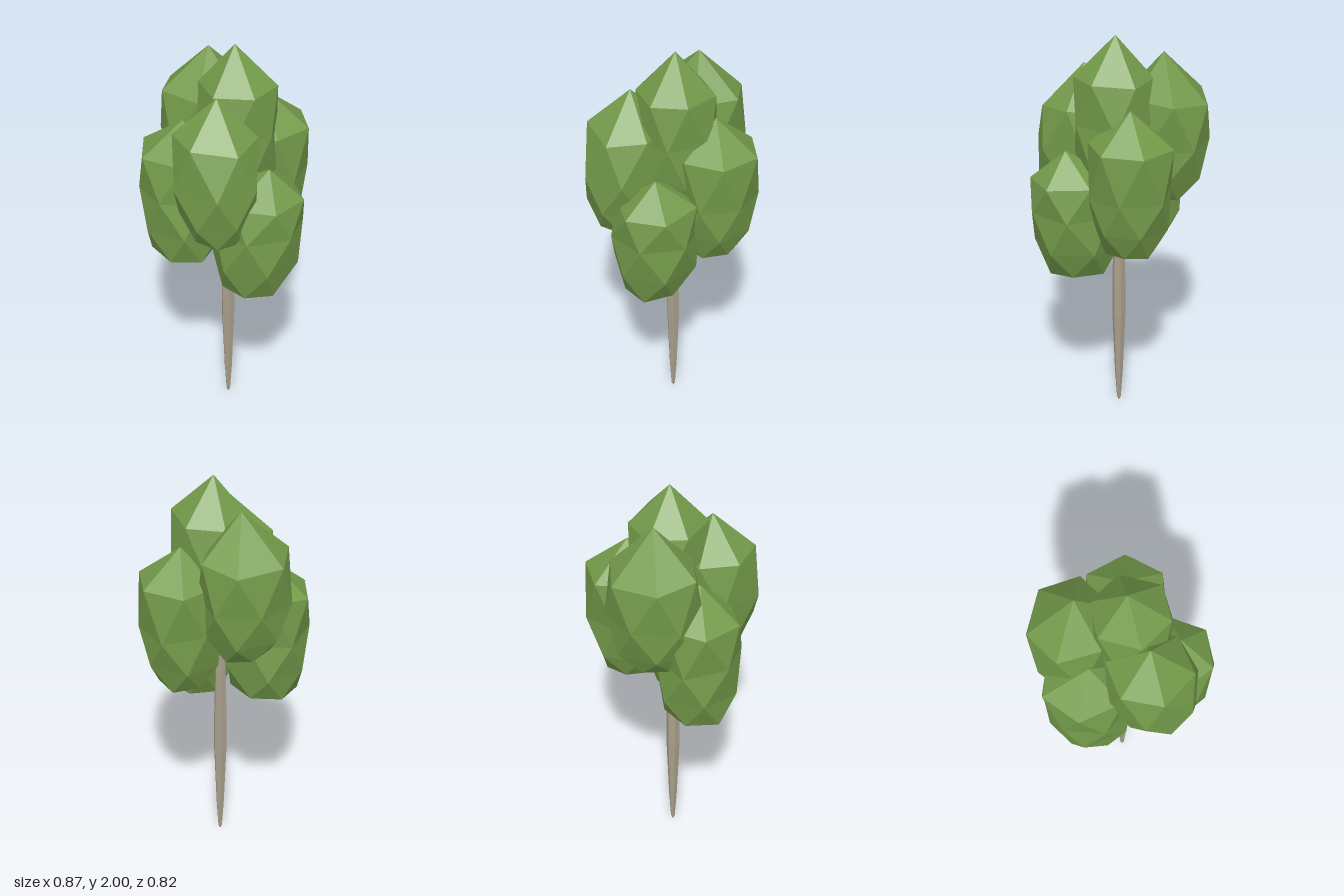
import * as THREE from 'three';

const SIDES = 6;

// Small seeded generator for the irregular facets
function seeded(seed) {
  let s = seed;
  return () => {
    s = (s * 16807) % 2147483647;
    return s / 2147483647;
  };
}

// Faceted egg: pointed top, staggered rings, blunt bottom, leaning from head [x, z] to foot [x, y, z].
// Each ring is [fraction down from the tip, fraction of full radius].
function clumpGeometry({ tip, head, foot, radius, phase, rings, seed }) {
  const rand = seeded(seed);
  const height = tip[1] - foot[1];
  const loops = rings.map(([t, r], k) => {
    const cx = head[0] + (foot[0] - head[0]) * t;
    const cz = head[1] + (foot[2] - head[1]) * t;
    return Array.from({ length: SIDES }, (_, i) => {
      const a = phase + ((i + k / 2) / SIDES) * Math.PI * 2 + (rand() - 0.5) * 0.1;
      const s = r * (0.98 + rand() * 0.04);
      const y = tip[1] - height * (t + (rand() - 0.5) * 0.04);
      return [cx + Math.cos(a) * radius[0] * s, y, cz + Math.sin(a) * radius[1] * s];
    });
  });
  const last = loops[loops.length - 1];
  const pos = [];
  const tri = (a, b, c) => pos.push(...a, ...b, ...c);
  for (let i = 0; i < SIDES; i++) {
    const j = (i + 1) % SIDES;
    tri(tip, loops[0][j], loops[0][i]);
    for (let k = 0; k < loops.length - 1; k++) {
      const u = loops[k], l = loops[k + 1];
      tri(u[i], u[j], l[i]);
      tri(l[i], u[j], l[j]);
    }
    tri(last[i], last[j], foot);
  }
  const geo = new THREE.BufferGeometry();
  geo.setAttribute('position', new THREE.Float32BufferAttribute(pos, 3));
  geo.computeVertexNormals(); // unshared corners give flat facets
  return geo;
}

const CLUMPS = [
  { name: 'topLeaves', tip: [0.02, 2.0, 0.01], head: [0.03, 0], foot: [0.035, 1.2, 0], radius: [0.2, 0.195], phase: 0.3, seed: 11,
    rings: [[0.25, 0.95], [0.5, 1.02], [0.77, 0.92], [0.95, 0.58]] },
  { name: 'rightUpperLeaves', tip: [-0.21, 1.905, -0.01], head: [-0.24, -0.005], foot: [-0.225, 1.16, 0], radius: [0.205, 0.225], phase: 0.8, seed: 23,
    rings: [[0.29, 0.97], [0.6, 1.02], [0.8, 0.88], [0.95, 0.56]] },
  { name: 'frontLeaves', tip: [0.12, 1.82, 0.19], head: [0.1, 0.195], foot: [0.165, 1.08, 0.215], radius: [0.215, 0.205], phase: 0.15, seed: 37,
    rings: [[0.26, 0.94], [0.55, 1.05], [0.78, 0.88], [0.95, 0.6]] },
  { name: 'frontRightLeaves', tip: [-0.15, 1.6, 0.19], head: [-0.18, 0.195], foot: [-0.15, 0.86, 0.185], radius: [0.215, 0.205], phase: 0.62, seed: 41,
    rings: [[0.2, 0.95], [0.5, 1.0], [0.75, 0.98], [0.94, 0.78]] },
  { name: 'leftLeaves', tip: [0.27, 1.46, 0.0], head: [0.24, 0], foot: [0.195, 0.77, 0.045], radius: [0.215, 0.205], phase: 0.42, seed: 59,
    rings: [[0.21, 0.95], [0.44, 1.02], [0.72, 1.0], [0.93, 0.7]] },
  { name: 'backLeaves', tip: [0.01, 1.7, -0.19], head: [0.01, -0.205], foot: [0.01, 0.94, -0.18], radius: [0.2, 0.2], phase: 0.52, seed: 67,
    rings: [[0.21, 1.0], [0.52, 1.02], [0.76, 0.92], [0.94, 0.6]] },
];

export function createModel() {
  const group = new THREE.Group();
  group.name = 'tree';
  const leafGreen = new THREE.MeshStandardMaterial({ color: 0x739a4a });
  leafGreen.name = 'leafGreen';
  const barkGrey = new THREE.MeshStandardMaterial({ color: 0xa99f8b });
  barkGrey.name = 'barkGrey';

  // Spindle-shaped trunk running up into the crown
  const profile = [[0, 0], [0.01, 0.02], [0.02, 0.17], [0.034, 0.52], [0.034, 0.68], [0.027, 1.0], [0.012, 1.35], [0, 1.4]]
    .map(([r, y]) => new THREE.Vector2(r, y));
  const trunkGeo = new THREE.LatheGeometry(profile, 6).toNonIndexed();
  trunkGeo.computeVertexNormals();
  const trunk = new THREE.Mesh(trunkGeo, barkGrey);
  trunk.name = 'trunk';
  trunk.position.set(-0.004, 0, 0.033);
  group.add(trunk);

  // Overlapping leaf clumps
  for (const clump of CLUMPS) {
    const mesh = new THREE.Mesh(clumpGeometry(clump), leafGreen);
    mesh.name = clump.name;
    group.add(mesh);
  }
  return group;
}
